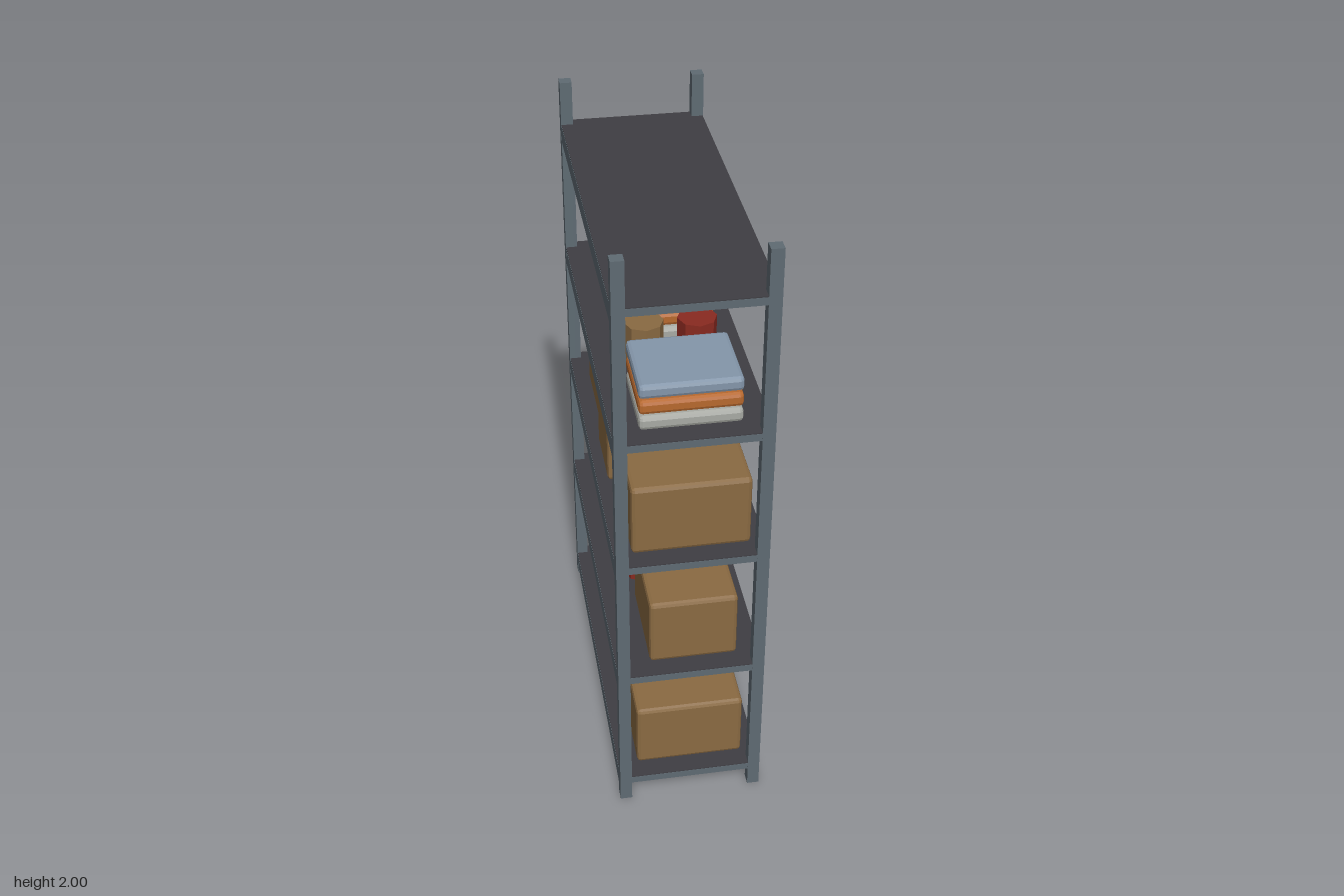
import * as THREE from 'three';
import { RoundedBoxGeometry } from 'three/addons/geometries/RoundedBoxGeometry.js';

const mat = (name, color, flat = true) => {
  const m = new THREE.MeshStandardMaterial({ color, flatShading: flat });
  m.name = name;
  return m;
};

const steel = mat('steel', 0x5f6b73);
const deckDark = mat('deck', 0x3f3e43);
const cardboard = mat('cardboard', 0x8a6a42);
const paleBlue = mat('paleBlue', 0x8496aa);
const orange = mat('orange', 0xb8692e);
const offWhite = mat('offWhite', 0xa8aaa4);
const red = mat('red', 0x8a2a20);
const blue = mat('blue', 0x2a5080);

// Rack outline and shelf heights
const X = 0.23, Z0 = -0.588, Z1 = 0.61, POST = 0.038;
const ZC = (Z0 + Z1) / 2;
const shelfTop = [0.096, 0.537, 0.978, 1.418, 1.859];

export function createModel() {
  const model = new THREE.Group();
  model.name = 'storageRack';

  const add = (name, geometry, material, x, y, z, parent = model) => {
    const mesh = new THREE.Mesh(geometry, material);
    mesh.name = name;
    mesh.position.set(x, y, z);
    parent.add(mesh);
    return mesh;
  };

  // Corner posts
  const postGeo = new THREE.BoxGeometry(POST, 2, POST);
  for (const sx of [-1, 1])
    for (const z of [Z0 + POST / 2, Z1 - POST / 2])
      add('post', postGeo, steel, sx * (X - POST / 2), 1, z);

  // Shelves: dark deck, deep side beams, shallow end beams
  const inset = 0.001;
  const deckGeo = new THREE.BoxGeometry(2 * (X - inset) - 0.001, 0.024, Z1 - Z0 - 0.003);
  const sideGeo = new THREE.BoxGeometry(0.024, 0.058, Z1 - Z0 - 2 * POST);
  const endGeo = new THREE.BoxGeometry(2 * (X - POST), 0.024, 0.024);
  for (const top of shelfTop) {
    const shelf = new THREE.Group();
    shelf.name = 'shelf';
    model.add(shelf);
    add('deck', deckGeo, deckDark, 0, top - 0.012, ZC, shelf);
    for (const s of [-1, 1]) {
      add('sideBeam', sideGeo, steel, s * (X - 0.0125), top - 0.032, ZC, shelf);
      add('endBeam', endGeo, steel, 0, top - 0.015, s > 0 ? Z1 - 0.0125 : Z0 + 0.0125, shelf);
    }
  }

  // Cardboard box given by its extents; tape strip on the +x side
  const carton = (level, x0, x1, z0, z1, top, tape) => {
    const y = shelfTop[level];
    const g = new THREE.Group();
    g.name = 'carton';
    model.add(g);
    add('cartonBody', new RoundedBoxGeometry(x1 - x0, top - y, z1 - z0, 1, 0.012),
      cardboard, (x0 + x1) / 2, (y + top) / 2, (z0 + z1) / 2, g);
    if (tape)
      add('tapeStrip', new THREE.BoxGeometry(0.008, 0.014, (z1 - z0) * 0.6),
        paleBlue, x1 + 0.003, tape, (z0 + z1) / 2, g);
  };
  carton(0, -0.165, 0.18, 0.271, 0.55, 0.324, 0.255);
  carton(0, -0.178, 0.165, -0.542, -0.238, 0.351, 0.278);
  carton(1, -0.122, 0.154, 0.226, 0.55, 0.767, 0.7);
  carton(2, -0.175, 0.185, 0.241, 0.55, 1.214, 1.144);
  carton(2, -0.195, 0.165, -0.05, 0.18, 1.176);
  carton(2, -0.178, 0.165, -0.424, -0.107, 1.239, 1.162);

  // Stacks of three folded cloths
  const clothGeo = new RoundedBoxGeometry(0.3, 0.044, 0.256, 1, 0.012);
  const stack = (level, z) => {
    const g = new THREE.Group();
    g.name = 'clothStack';
    model.add(g);
    [offWhite, orange, paleBlue].forEach((m, i) =>
      add('cloth', clothGeo, m, 0, shelfTop[level] + 0.025 + i * 0.052, z, g));
  };
  stack(0, 0.095);
  stack(1, -0.119);
  for (const z of [0.424, -0.037, -0.335]) stack(3, z);

  // Pairs of eight-sided cans
  const canGeo = new THREE.CylinderGeometry(0.06, 0.06, 0.14, 8);
  const cans = (level, z, plusX, minusX) => {
    add('can', canGeo, plusX, 0.08, shelfTop[level] + 0.07, z);
    add('can', canGeo, minusX, -0.08, shelfTop[level] + 0.07, z);
  };
  cans(0, -0.147, cardboard, red);
  cans(1, 0.103, blue, red);
  cans(2, -0.552, red, blue);
  cans(3, 0.186, red, cardboard);

  return model;
}
